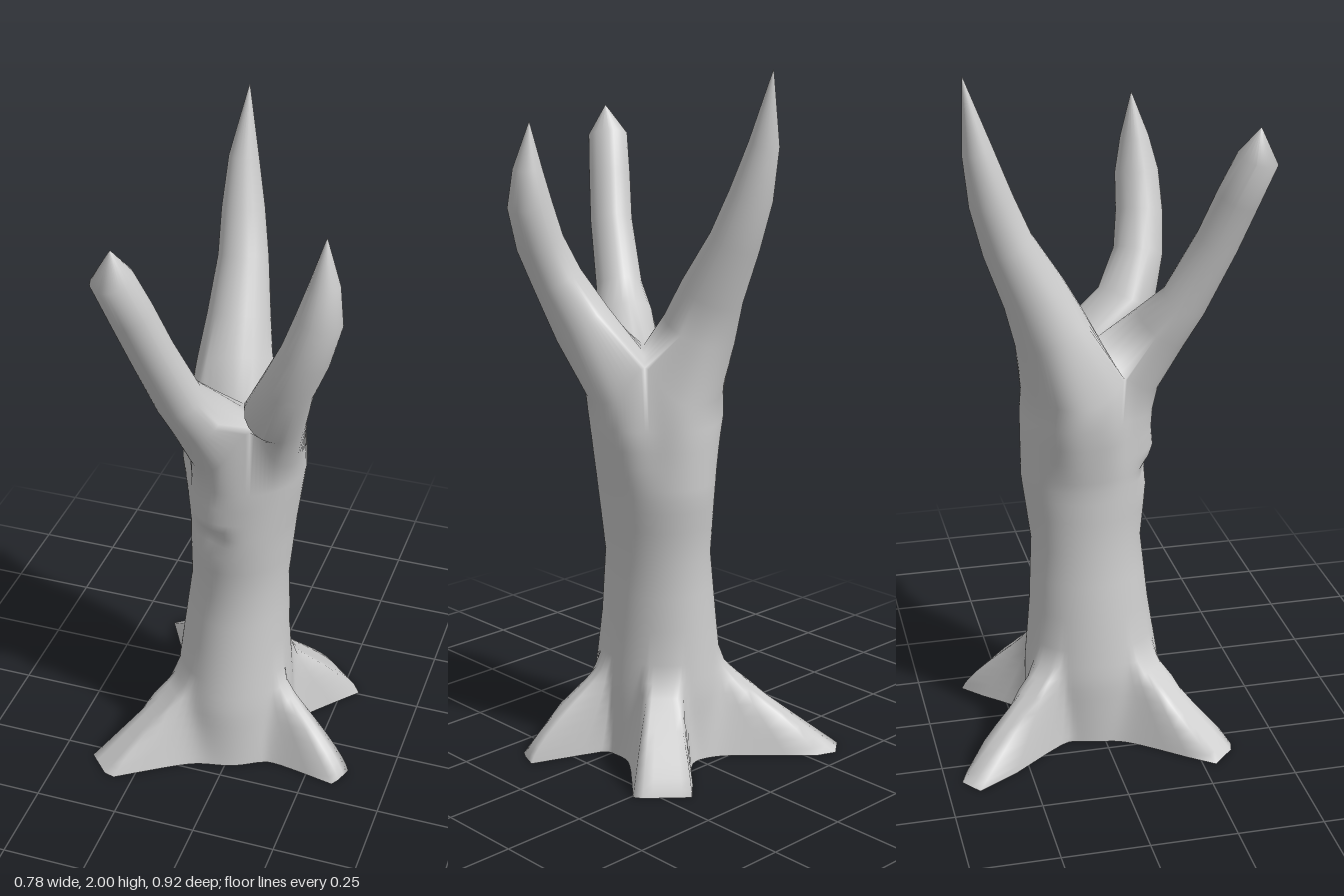
import * as THREE from 'three';
import { mergeGeometries, mergeVertices } from 'three/addons/utils/BufferGeometryUtils.js';

const material = new THREE.MeshStandardMaterial({ color: 0xcccccc, side: THREE.DoubleSide });
const SIDES = 96;

// Skin a list of closed rings (arrays of Vector3, bottom to top)
function loft(rings) {
  const n = rings[0].length;
  const index = [];
  for (let i = 0; i < rings.length - 1; i++) {
    for (let j = 0; j < n; j++) {
      const k = (j + 1) % n;
      const a = i * n + j, b = i * n + k, c = a + n, d = b + n;
      index.push(a, c, b, b, c, d);
    }
  }
  const geometry = new THREE.BufferGeometry().setFromPoints(rings.flat());
  geometry.setIndex(index);
  return geometry;
}

// Trunk sections: y, centre x, centre z, radius x, radius z
const SECTIONS = [
  [0, -0.03, 0, 0.178, 0.202],
  [0.2, -0.035, -0.005, 0.178, 0.202],
  [0.4, -0.03, -0.012, 0.16, 0.178],
  [0.6, -0.02, -0.018, 0.145, 0.163],
  [0.8, -0.01, -0.02, 0.155, 0.187],
  [1.0, -0.008, -0.015, 0.183, 0.195],
  [1.1, -0.008, 0, 0.188, 0.204],
  [1.3, 0, 0, 0.185, 0.205],
];

// Roots: end position, ridge bulge, and for both sides [half width at the trunk, narrowing per unit]
const ROOTS = [
  { x: -0.33, z: -0.433, bulge: 1, sides: [[0.055, 0], [0.14, 0.155]] },
  { x: 0.277, z: -0.317, bulge: 1.3, sides: [[0.09, 0], [0.083, 0]] },
  { x: 0.388, z: 0.141, bulge: 1.4, sides: [[0.04, 0], [0.11, 0.16]] },
  { x: -0.335, z: 0.328, bulge: 1, sides: [[0.15, 0.19], [0.115, 0.115]] },
];
const ROOT_TOP = 0.27;

// Grooves (negative) and swellings of the upper trunk: angle, spread, depth
const FLUTES = [[5.45, 0.4, -0.026], [2.5, 0.3, -0.025], [3.6, 0.35, 0.022]];

// Saddles between neighbouring branches: index on the trunk ring, height
const SADDLES = [[18, 1.215], [41, 1.13], [85, 1.18]];
const CROTCH = new THREE.Vector3(0, 1.21, 0.02);
const RIM = 1.07;

const gauss = (x, spread) => Math.exp(-((x / spread) ** 2));

function sectionAt(y) {
  let i = 0;
  while (i < SECTIONS.length - 2 && y > SECTIONS[i + 1][0]) i++;
  const [a, b] = [SECTIONS[i], SECTIONS[i + 1]];
  const t = (y - a[0]) / (b[0] - a[0]);
  return a.map((v, k) => v + (b[k] - v) * t);
}

// Distance from the trunk axis to the side or blunt end of a root in direction angle
function rootReach({ x, z, bulge, sides }, angle, y) {
  const h = y / ROOT_TOP;
  const d = angle - Math.atan2(z, x);
  const c = Math.cos(d), s = Math.sin(d);
  if (h >= 1 || c <= 0) return 0;
  const [width, taper] = sides[s < 0 ? 0 : 1];
  const length = 0.14 + (Math.hypot(x, z) - 0.14) * (1 - h ** bulge);
  return Math.min(length / c, (width * (1 - 0.5 * h)) / (Math.abs(s) + taper * c));
}

function trunkPoint(j, y) {
  const [, cx, cz, rx, rz] = sectionAt(y);
  const angle = (j / SIDES) * Math.PI * 2;
  const c = Math.cos(angle), s = Math.sin(angle);
  let sum = (1 / Math.hypot(c / rx, s / rz)) ** 7;
  for (const root of ROOTS) sum += rootReach(root, angle, y) ** 7;
  let r = sum ** (1 / 7);
  const grow = THREE.MathUtils.smoothstep(y, 0.75, 1.08);
  for (const [at, spread, depth] of FLUTES) r += depth * grow * gauss(angle - at, spread);
  // shallow hollow under a small brow on the front
  r += gauss(angle - 1.85, 0.3) * (0.01 * gauss(y - 0.88, 0.035) - 0.02 * gauss(y - 0.82, 0.035));
  return new THREE.Vector3(cx + r * c, y, cz + r * s);
}

// Top edge of the trunk, rising to a saddle between each pair of branches
function rimPoint(j) {
  let y = RIM, pinch = 0;
  for (const [index, height] of SADDLES) {
    const bump = gauss(j - index, 5.5);
    y += (height - RIM) * bump;
    pinch += 0.1 * bump;
  }
  const point = trunkPoint(j, y);
  point.x *= 1 - pinch;
  point.z *= 1 - pinch;
  return point;
}

// Trunk flaring into four roots, open underneath
function makeTrunk(rim) {
  const levels = [0, 0.02, 0.045, 0.075, 0.11, 0.145, 0.18, 0.215, 0.25, 0.3, 0.4, 0.5, 0.6, 0.7,
    0.76, 0.8, 0.83, 0.86, 0.89, 0.94, 1];
  const rings = levels.map((y) => rim.map((_, j) => trunkPoint(j, y)));
  return loft([...rings, rim]);
}

// Branch growing from the rim between two saddles, through points [x, y, z, radius]
function makeBranch(rim, from, to, points) {
  const base = [];
  const end = to > from ? to : to + SIDES;
  for (let j = from; j <= end; j++) base.push(rim[j % SIDES]);
  // inner edge: over the crotch and back to the first saddle
  const steps = 6;
  for (let i = 1; i <= steps; i++) base.push(rim[to].clone().lerp(CROTCH, i / steps));
  for (let i = steps - 1; i > 0; i--) base.push(rim[from].clone().lerp(CROTCH, i / steps));

  const middle = new THREE.Box3().setFromPoints(base).getCenter(new THREE.Vector3());
  const angles = base.map((p) => Math.atan2(p.z - middle.z, p.x - middle.x));
  const centres = [middle, ...points.map(([x, y, z]) => new THREE.Vector3(x, y, z))];
  const rings = points.map(([, , , radius], i) => {
    const after = centres[Math.min(i + 2, points.length)];
    const t = after.clone().sub(centres[i]).normalize();
    const u = new THREE.Vector3(1, 0, 0).addScaledVector(t, -t.x).normalize();
    const v = u.clone().cross(t);
    return angles.map((a) => centres[i + 1].clone()
      .addScaledVector(u, radius * Math.cos(a))
      .addScaledVector(v, radius * Math.sin(a)));
  });
  return loft([base, ...rings]);
}

export function createModel() {
  const rim = Array.from({ length: SIDES }, (_, j) => rimPoint(j));
  const [frontSaddle, rightSaddle, backSaddle] = SADDLES.map(([index]) => index);
  const trunk = makeTrunk(rim);
  const frontBranch = makeBranch(rim, frontSaddle, rightSaddle, [
    [-0.08, 1.26, 0.19, 0.084], [-0.112, 1.34, 0.245, 0.068], [-0.155, 1.52, 0.325, 0.062],
    [-0.19, 1.65, 0.37, 0.061], [-0.222, 1.765, 0.412, 0.058], [-0.22, 1.85, 0.42, 0.001],
  ]);
  const backBranch = makeBranch(rim, rightSaddle, backSaddle, [
    [-0.075, 1.27, -0.13, 0.108], [-0.078, 1.38, -0.175, 0.092], [-0.09, 1.53, -0.25, 0.073],
    [-0.105, 1.66, -0.295, 0.062], [-0.115, 1.8, -0.33, 0.043], [-0.11, 2, -0.365, 0.001],
  ]);
  const leftBranch = makeBranch(rim, backSaddle, frontSaddle, [
    [0.13, 1.27, 0.135, 0.088], [0.18, 1.4, 0.185, 0.073], [0.23, 1.51, 0.2, 0.069],
    [0.265, 1.62, 0.2, 0.064], [0.275, 1.72, 0.195, 0.042], [0.275, 1.85, 0.185, 0.001],
  ]);

  // weld the parts so that the bark shades as one continuous skin
  const skin = mergeVertices(mergeGeometries([trunk, frontBranch, backBranch, leftBranch]));
  skin.computeVertexNormals();
  const tree = new THREE.Mesh(skin, material);
  tree.name = 'trunkRootsAndBranches';
  const group = new THREE.Group();
  group.name = 'bareTree';
  group.add(tree);
  return group;
}
